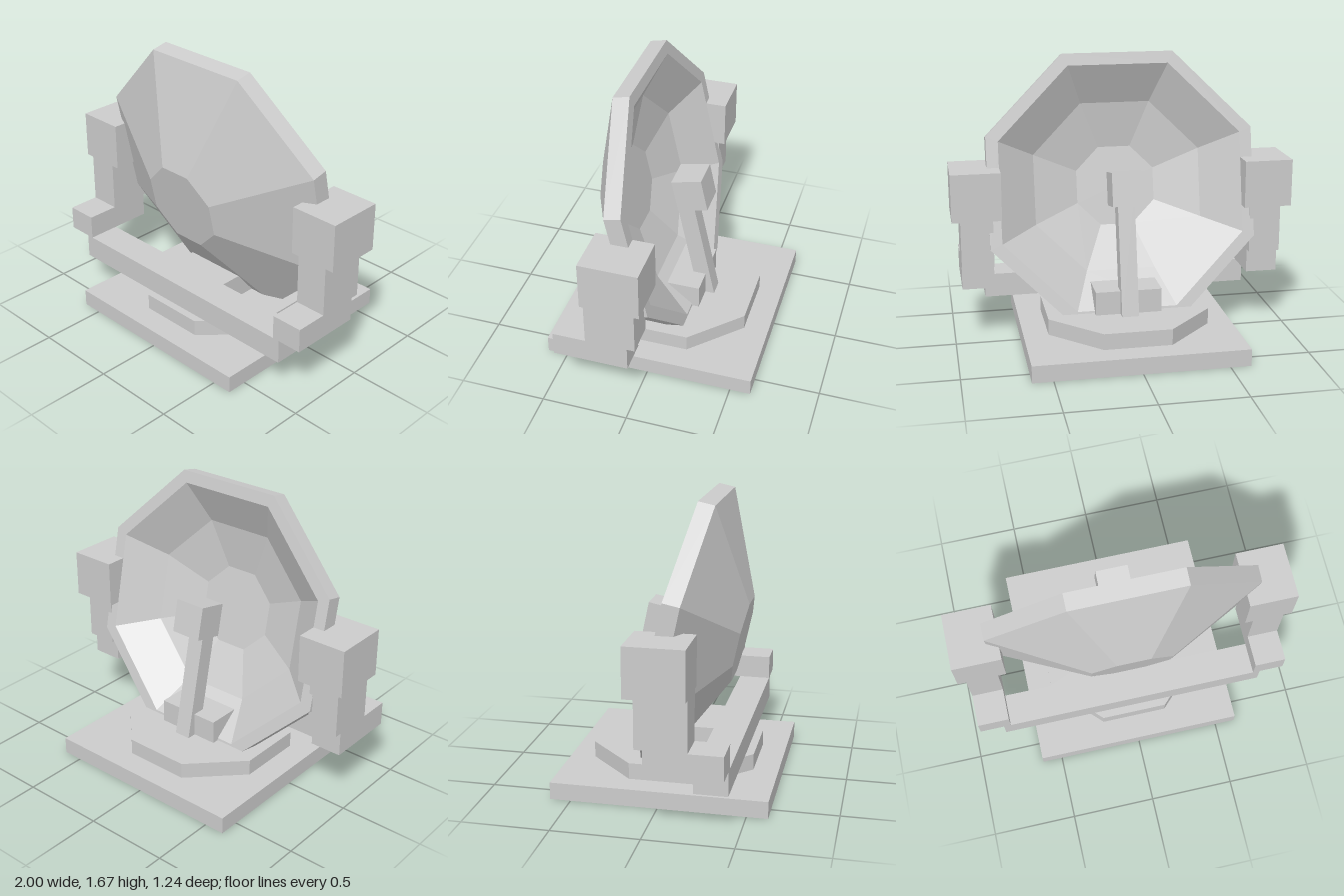
import * as THREE from 'three';

const material = new THREE.MeshStandardMaterial({ color: 0xcccccc, flatShading: true });
const TILT = 0.21;
const OCT = Math.cos(Math.PI / 8); // apothem / corner radius of an octagon

function add(parent, name, geometry) {
  const mesh = new THREE.Mesh(geometry, material);
  mesh.name = name;
  parent.add(mesh);
  return mesh;
}

// Box given by its extents on each axis
function box(parent, name, [x0, x1], [y0, y1], [z0, z1]) {
  const mesh = add(parent, name, new THREE.BoxGeometry(x1 - x0, y1 - y0, z1 - z0));
  mesh.position.set((x0 + x1) / 2, (y0 + y1) / 2, (z0 + z1) / 2);
  return mesh;
}

export function createModel() {
  const model = new THREE.Group();
  model.name = 'dishAntenna';

  // Base plate and octagonal turntable
  box(model, 'basePlate', [-0.62, 0.62], [0, 0.1], [-0.62, 0.62]);
  const r = 0.475 / OCT;
  const table = add(model, 'turntable', new THREE.CylinderGeometry(r, r, 0.095, 8, 1, false, Math.PI / 8));
  table.position.y = 0.1475;

  // Yoke: tongue on the turntable, crossbar and two stepped arms
  box(model, 'tongue', [-0.195, 0.195], [0.19, 0.335], [-0.19, 0.3]);
  box(model, 'crossbar', [-0.805, 0.805], [0.195, 0.338], [0.24, 0.43]);
  for (const side of [-1, 1]) {
    const arm = new THREE.Group();
    arm.name = side > 0 ? 'leftArm' : 'rightArm';
    const span = (a, b) => (side > 0 ? [a, b] : [-b, -a]);
    box(arm, 'armFoot', span(0.763, 0.95), [0.338, 0.48], [0, 0.43]);
    box(arm, 'armColumn', span(0.763, 0.95), [0.48, 0.77], [-0.045, 0.24]);
    box(arm, 'armHead', span(0.715, 1), [0.77, 1.05], [-0.092, 0.24]);
    model.add(arm);
  }

  // Dish: closed eight-sided shell, hollow towards the back; [apothem, depth]
  const profile = [
    [0, 0.26], [0.235, 0.26], [0.5, 0.17], [0.715, 0],
    [0.785, 0], [0.785, 0.097], [0.237, 0.378], [0, 0.378],
  ].map(([a, d]) => new THREE.Vector2(a / OCT, d));
  const shell = new THREE.LatheGeometry(profile, 8, Math.PI / 8);
  shell.rotateX(Math.PI / 2);
  const dish = add(model, 'dish', shell);
  dish.position.set(0, 0.907, 0.002);
  dish.rotation.x = TILT;

  // Receiver on a slanted strut behind the dish
  const strut = add(model, 'receiverStrut', new THREE.BoxGeometry(0.1, 0.74, 0.1));
  strut.position.set(0, 0.545, -0.12);
  strut.rotation.x = TILT;
  const receiver = add(model, 'receiver', new THREE.BoxGeometry(0.19, 0.195, 0.18));
  receiver.position.set(0, 0.926, -0.097);
  receiver.rotation.x = TILT;

  return model;
}
